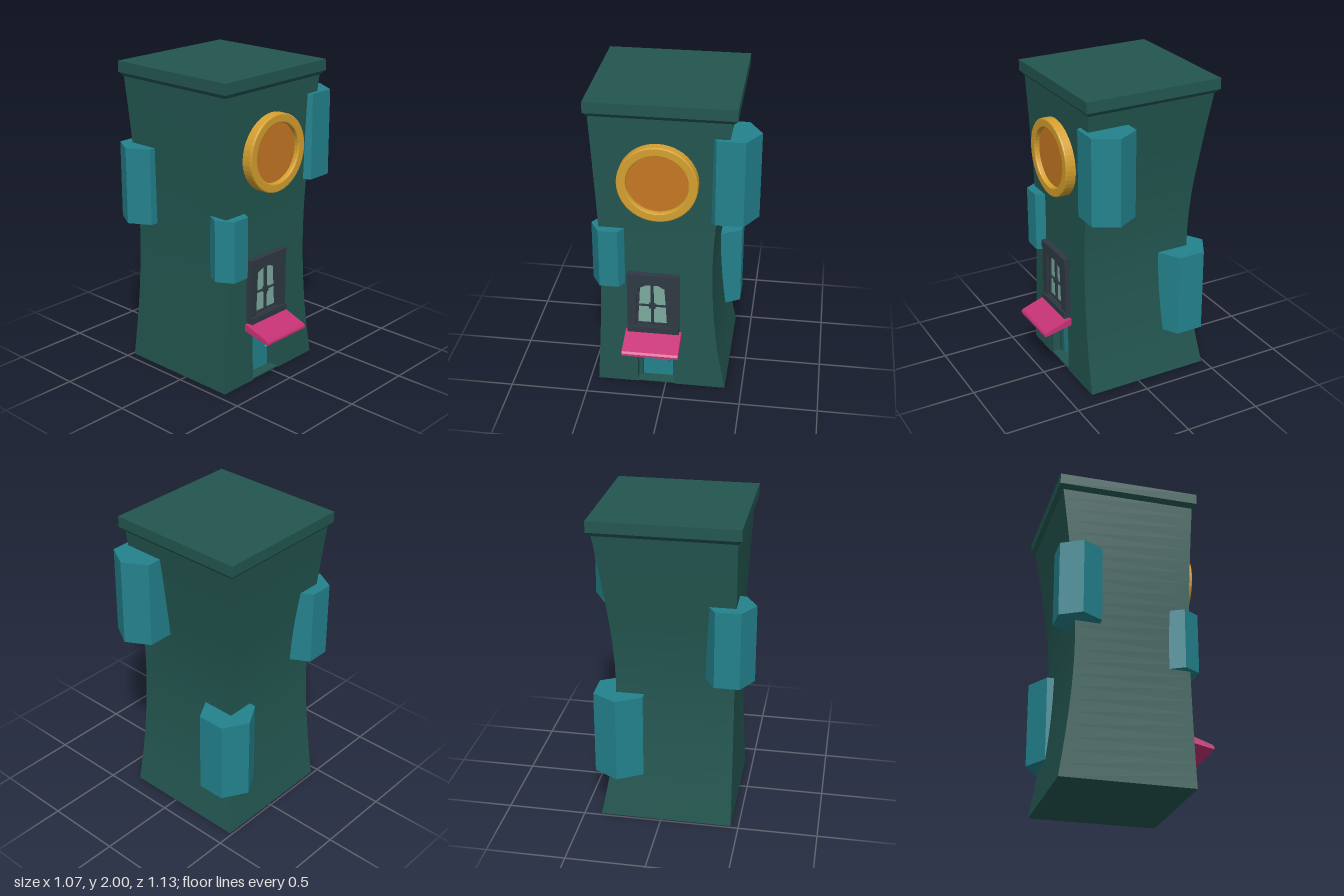
import * as THREE from 'three';

const mat = (name, color, side = THREE.FrontSide) => {
  const m = new THREE.MeshStandardMaterial({ color, side });
  m.name = name;
  return m;
};

export function createModel() {
  const wallMat = mat('dark green wall', 0x235650);
  const teal = mat('teal', 0x23828d);
  const gold = mat('gold', 0xd5a02f);
  const amber = mat('amber', 0xc67722);
  const slate = mat('slate', 0x2f3943);
  const glassMat = mat('pale green glass', 0x7dab9d);
  const pink = mat('magenta', 0xc63275);

  const model = new THREE.Group();
  model.name = 'tower';
  const add = (parent, name, geometry, material, x = 0, y = 0, z = 0) => {
    const mesh = new THREE.Mesh(geometry, material);
    mesh.name = name;
    mesh.position.set(x, y, z);
    parent.add(mesh);
    return mesh;
  };
  const box = (w, h, d) => new THREE.BoxGeometry(w, h, d);

  // Waisted corner lines of the tower: smooth [x, z] for a height y
  const heights = [0, 0.3, 0.6, 0.9, 1.2, 1.5, 1.92];
  const corner = (xs, zs) => {
    const curve = new THREE.CatmullRomCurve3(heights.map((y, i) => new THREE.Vector3(xs[i], y, zs[i])));
    return (y) => {
      let k = 0;
      while (k < heights.length - 2 && y > heights[k + 1]) k++;
      const t = (k + (y - heights[k]) / (heights[k + 1] - heights[k])) / (heights.length - 1);
      const p = curve.getPoint(t);
      return [p.x, p.z];
    };
  };
  const leftX = [-0.485, -0.443, -0.412, -0.4, -0.412, -0.445, -0.497];
  const backZ = [-0.39, -0.336, -0.305, -0.295, -0.31, -0.345, -0.403];
  const frontLeft = corner([0.345, 0.339, 0.335, 0.332, 0.333, 0.342, 0.36], [0.447, 0.43, 0.417, 0.412, 0.42, 0.435, 0.456]);
  const backLeft = corner([0.345, 0.343, 0.341, 0.34, 0.341, 0.347, 0.36], backZ);
  const backRight = corner(leftX, backZ);
  const frontRight = corner(leftX, [0.45, 0.447, 0.445, 0.444, 0.446, 0.449, 0.456]);

  // Wall strip between two edge lines, facing out
  const wall = (name, a, b, y0 = 0, y1 = 1.92, rows = 24) => {
    const pos = [], idx = [];
    for (let i = 0; i <= rows; i++) {
      const y = y0 + ((y1 - y0) * i) / rows;
      const [ax, az] = a(y), [bx, bz] = b(y);
      pos.push(ax, y, az, bx, y, bz);
      const k = i * 2;
      if (i < rows) idx.push(k, k + 1, k + 3, k, k + 3, k + 2);
    }
    const g = new THREE.BufferGeometry();
    g.setAttribute('position', new THREE.Float32BufferAttribute(pos, 3));
    g.setIndex(idx);
    g.computeVertexNormals();
    add(model, name, g, wallMat);
  };
  wall('frontWall', frontRight, frontLeft);
  wall('backWall', backLeft, backRight);
  wall('rightWall', backRight, frontRight);

  // Entrance wall, pieced around the doorway
  const doorTop = 0.32, doorFront = 0.185, doorBack = -0.055;
  const jamb = (z) => (y) => {
    const [ax, az] = frontLeft(y), [bx, bz] = backLeft(y);
    return [ax + ((bx - ax) * (z - az)) / (bz - az), z];
  };
  wall('entranceWallFront', frontLeft, jamb(doorFront), 0, doorTop, 6);
  wall('entranceWallBack', jamb(doorBack), backLeft, 0, doorTop, 6);
  wall('entranceWallUpper', frontLeft, backLeft, doorTop, 1.92, 20);

  // Underside
  const base = new THREE.Shape([frontLeft, backLeft, backRight, frontRight].map((c) => {
    const [x, z] = c(0);
    return new THREE.Vector2(x, z);
  }));
  add(model, 'underside', new THREE.ShapeGeometry(base).rotateX(Math.PI / 2), wallMat);

  // Flat roof slab over a tapered cornice
  add(model, 'roofSlab', box(0.905, 0.07, 0.91), wallMat, -0.0675, 1.965, 0.025);
  const cornice = box(0.905, 0.027, 0.91);
  const cp = cornice.attributes.position;
  for (let i = 0; i < cp.count; i++) {
    if (cp.getY(i) < 0) cp.setXYZ(i, cp.getX(i) * 0.95, cp.getY(i), cp.getZ(i) * 0.95);
  }
  cornice.computeVertexNormals();
  add(model, 'cornice', cornice, wallMat, -0.0675, 1.9175, 0.025);

  // Six-sided bays: x, z, radius, bottom, top, turn
  const bays = [
    ['frontBay', -0.38, 0.409, 0.156, 0.995, 1.488, 0],
    ['backBay', 0.237, -0.394, 0.171, 1.245, 1.8, 0],
    ['cornerBay', 0.287, 0.35, 0.12, 0.757, 1.152, 0],
    ['rightBay', -0.355, -0.275, 0.18, 0.3, 0.853, Math.PI / 6],
  ];
  for (const [name, x, z, r, y0, y1, turn] of bays) {
    const g = new THREE.CylinderGeometry(r, r, y1 - y0, 6).toNonIndexed();
    g.computeVertexNormals();
    add(model, name, g, teal, x, (y0 + y1) / 2, z).rotation.y = turn;
  }

  // Entrance side details: in this group local x is -z, local z is +x
  const side = new THREE.Group();
  side.name = 'entranceSide';
  side.rotation.y = Math.PI / 2;
  model.add(side);
  const poly = (pts) => pts.map(([x, y]) => new THREE.Vector2(x, y));
  const plate = (name, outer, hole, depth, material, z) => {
    const s = new THREE.Shape(poly(outer));
    if (hole) s.holes.push(new THREE.Path(poly(hole)));
    return add(side, name, new THREE.ExtrudeGeometry(s, { depth, bevelEnabled: false }), material, 0, 0, z);
  };
  const rect = (x0, x1, y0, y1) => [[x0, y0], [x1, y0], [x1, y1], [x0, y1]];

  // Round window
  const ring = new THREE.Shape().absarc(0, 0, 0.247, 0, Math.PI * 2);
  ring.holes.push(new THREE.Path().absarc(0, 0, 0.189, 0, Math.PI * 2, true));
  add(side, 'roundWindowRing', new THREE.ExtrudeGeometry(ring, {
    depth: 0.062, curveSegments: 24, bevelThickness: 0.008, bevelSize: 0.008, bevelOffset: -0.008, bevelSegments: 2,
  }), gold, -0.04, 1.5, 0.341);
  add(side, 'roundWindowPane', new THREE.CylinderGeometry(0.193, 0.193, 0.04, 48).rotateX(Math.PI / 2), amber, -0.04, 1.5, 0.358);

  // Casement window with a low peaked opening
  const opening = (g) => [[-0.19 + g, 0.465 + g], [0.025 - g, 0.465 + g], [0.01 - g, 0.752 - g],
    [-0.045, 0.775 - g], [-0.12, 0.775 - g], [-0.175 + g, 0.752 - g]];
  plate('windowFrame', rect(-0.24, 0.09, 0.42, 0.845), opening(0), 0.043, slate, 0.33);
  plate('windowSash', opening(0), opening(0.014), 0.025, slate, 0.33);
  plate('windowGlass', opening(0.005), null, 0.008, glassMat, 0.338);
  add(side, 'windowLintel', box(0.33, 0.045, 0.05), slate, -0.075, 0.8225, 0.353);
  add(side, 'windowSill', box(0.33, 0.04, 0.055), slate, -0.075, 0.44, 0.358);
  add(side, 'windowMullion', box(0.018, 0.295, 0.016), slate, -0.0825, 0.62, 0.35);
  add(side, 'windowCrossbar', box(0.19, 0.01, 0.014), slate, -0.0825, 0.61, 0.35);
  add(side, 'windowLatch', box(0.04, 0.035, 0.02), slate, -0.0825, 0.61, 0.352);

  // Sloping awning
  const profile = new THREE.Shape(poly([[0.33, 0.372], [0.53, 0.33], [0.53, 0.345], [0.52, 0.358], [0.365, 0.412], [0.33, 0.415]]));
  add(model, 'awning', new THREE.ExtrudeGeometry(profile, { depth: 0.36, bevelEnabled: false }), pink, 0, 0, -0.104);

  // Recessed doorway
  const reveal = [[-0.205, 0, 0.001], [0.055, 0, 0.001]];
  for (const [x] of reveal) plate('doorReveal', rect(x, x + 0.02, 0.002, 0.34), null, 0.09, wallMat, 0.247);
  plate('doorReveal', rect(-0.205, 0.075, 0.32, 0.34), null, 0.09, wallMat, 0.247);
  plate('doorStep', rect(-0.185, 0.055, 0.001, 0.01), null, 0.09, wallMat, 0.25);
  plate('doorFrame', rect(-0.185, 0.055, 0.002, 0.32), rect(-0.157, 0.04, 0.01, 0.292), 0.035, wallMat, 0.25);
  plate('door', rect(-0.157, 0.04, 0.01, 0.292), null, 0.02, teal, 0.248);
  add(side, 'doorKnob', new THREE.SphereGeometry(0.012, 12, 8), teal, 0.014, 0.145, 0.277);

  return model;
}
